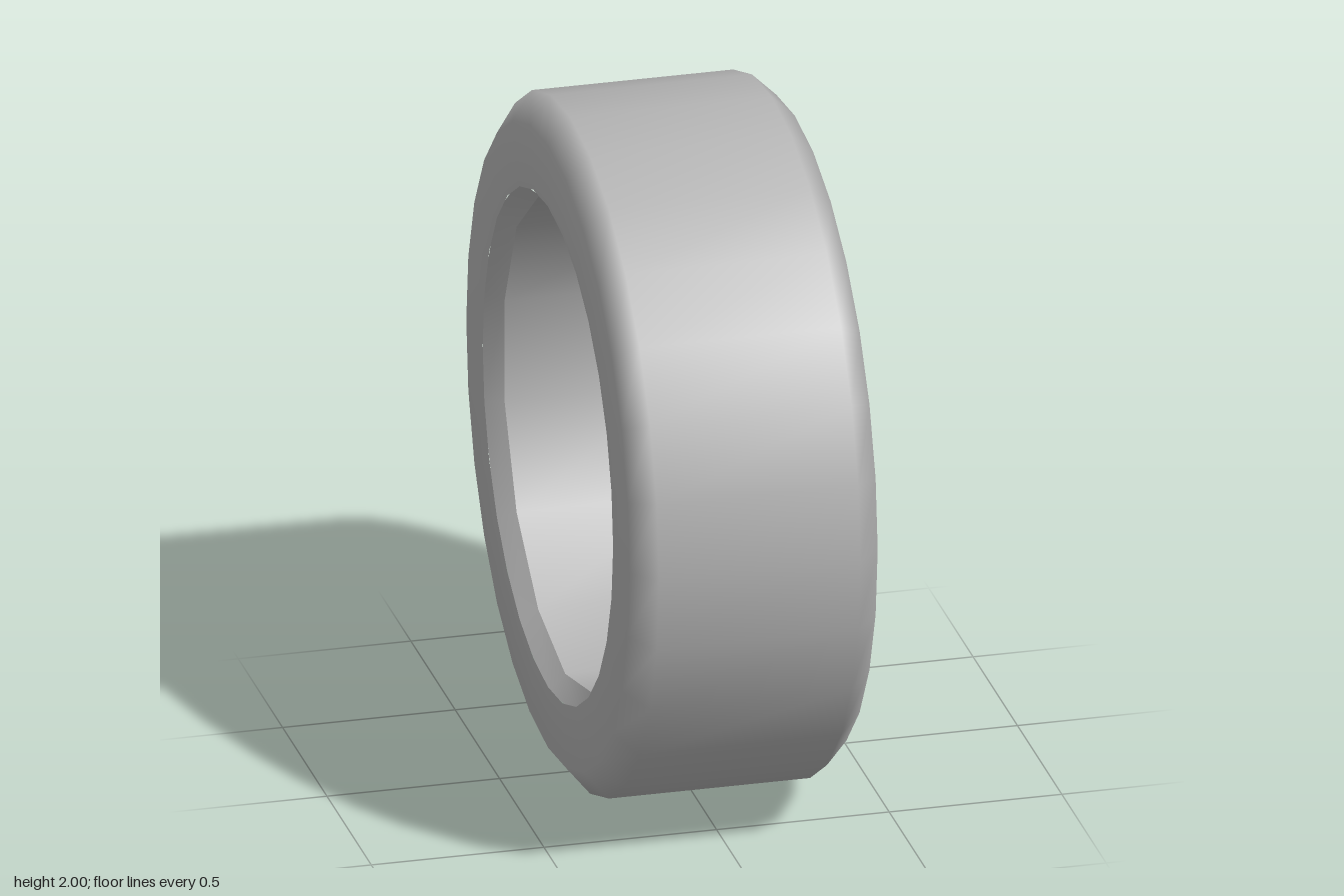
import * as THREE from 'three';
import { toCreasedNormals } from 'three/addons/utils/BufferGeometryUtils.js';

const grey = new THREE.MeshStandardMaterial({ color: 0xb4b4b4 });
grey.name = 'grey';

// Mesh helper
function part(name, geometry, parent) {
  const mesh = new THREE.Mesh(geometry, grey);
  mesh.name = name;
  parent.add(mesh);
  return mesh;
}

// Revolve [x, radius] points around the axle (x axis)
function revolve(points, sides) {
  const profile = points.map(([x, r]) => new THREE.Vector2(r, x));
  return new THREE.LatheGeometry(profile, sides, Math.PI / 2).rotateZ(-Math.PI / 2);
}

// Cylinder along the axle between two x positions
function axleCylinder(radius, x0, x1, sides, open = false) {
  return new THREE.CylinderGeometry(radius, radius, x1 - x0, sides, 1, open)
    .rotateZ(-Math.PI / 2).translate((x0 + x1) / 2, 0, 0);
}

// Spoke lofted along +y from [radius, half width, back x, front x] sections
function spokeGeometry(sections) {
  const positions = [], index = [];
  for (const [r, w, b, f] of sections) {
    const m = b + (f - b) * 0.6;
    const ring = [[b, -w * 0.8], [m, -w], [f, -w * 0.3], [f, w * 0.3], [m, w], [b, w * 0.8]];
    for (const [x, z] of ring) positions.push(x, r, z);
  }
  const n = 6;
  for (let i = 0; i < sections.length - 1; i++) {
    for (let j = 0; j < n; j++) {
      const a = i * n + j, b = i * n + (j + 1) % n;
      index.push(a, a + n, b, b, a + n, b + n);
    }
  }
  const geometry = new THREE.BufferGeometry();
  geometry.setAttribute('position', new THREE.Float32BufferAttribute(positions, 3));
  geometry.setIndex(index);
  return toCreasedNormals(geometry, 0.7);
}

export function createModel() {
  const wheel = new THREE.Group();
  wheel.name = 'wheel';
  wheel.position.y = 1;

  // Tyre: sidewalls and tread with bevelled shoulders
  part('tyre', revolve([
    [-0.36, 0.735], [-0.36, 0.92], [-0.295, 1], [0.288, 1], [0.355, 0.935], [0.355, 0.79],
  ], 28), wheel);

  // Stepped front lip of the rim
  part('rimLip', toCreasedNormals(revolve([
    [0.355, 0.79], [0.31, 0.74], [0.26, 0.735], [0.26, 0.705], [0.21, 0.695], [0.21, 0.66], [0.16, 0.66], [0.16, 0.7],
  ], 28), 0.5), wheel);

  // Coarser barrel, open at the back
  part('rimBarrel', toCreasedNormals(revolve([
    [0.19, 0.69], [-0.31, 0.7], [-0.36, 0.75],
  ], 14), 0.6), wheel);

  // Hub plate with five bolt holes
  const plate = new THREE.Shape();
  for (let i = 0; i < 20; i++) {
    const a = (i / 20) * Math.PI * 2, r = i % 2 ? 0.3 : 0.27;
    if (i === 0) plate.moveTo(r * Math.cos(a), r * Math.sin(a));
    else plate.lineTo(r * Math.cos(a), r * Math.sin(a));
  }
  const boltAngles = Array.from({ length: 5 }, (_, i) => (i / 5) * Math.PI * 2);
  for (const a of boltAngles) {
    const hole = new THREE.Path();
    hole.absarc(0.18 * Math.sin(a), 0.18 * Math.cos(a), 0.05, 0, Math.PI * 2, true);
    plate.holes.push(hole);
  }
  const plateGeometry = new THREE.ExtrudeGeometry(plate, { depth: 0.08, bevelEnabled: false, curveSegments: 8 });
  part('hubPlate', plateGeometry.rotateY(Math.PI / 2).translate(0.18, 0, 0), wheel);
  part('hubCap', axleCylinder(0.09, 0.24, 0.267, 12), wheel);
  part('hubBarrel', axleCylinder(0.165, 0.01, 0.2, 10), wheel);

  // Recessed bolts
  boltAngles.forEach((a) => {
    const bolt = part('bolt', axleCylinder(0.052, 0.18, 0.225, 8), wheel);
    bolt.position.set(0, 0.18 * Math.cos(a), -0.18 * Math.sin(a));
  });

  // Ten spokes: every other one stops short at a bolt hole
  const outer = [
    [0.3, 0.065, 0.18, 0.3], [0.45, 0.053, 0.2, 0.315], [0.64, 0.042, 0.21, 0.33],
    [0.68, 0.052, 0.22, 0.335], [0.72, 0.032, 0.25, 0.338], [0.775, 0.006, 0.32, 0.345],
    [0.775, 0, 0.34, 0.34],
  ];
  const shortSpoke = spokeGeometry([[0.235, 0, 0.23, 0.23], [0.235, 0.065, 0.18, 0.275], ...outer]);
  const longSpoke = spokeGeometry([[0.1, 0, 0.23, 0.23], [0.1, 0.03, 0.18, 0.265], [0.2, 0.055, 0.18, 0.285], ...outer]);
  for (let i = 0; i < 10; i++) {
    const spoke = part('spoke', i % 2 ? longSpoke : shortSpoke, wheel);
    spoke.rotation.x = (i / 10) * Math.PI * 2;
  }

  const model = new THREE.Group();
  model.name = 'wheelModel';
  model.add(wheel);
  return model;
}
